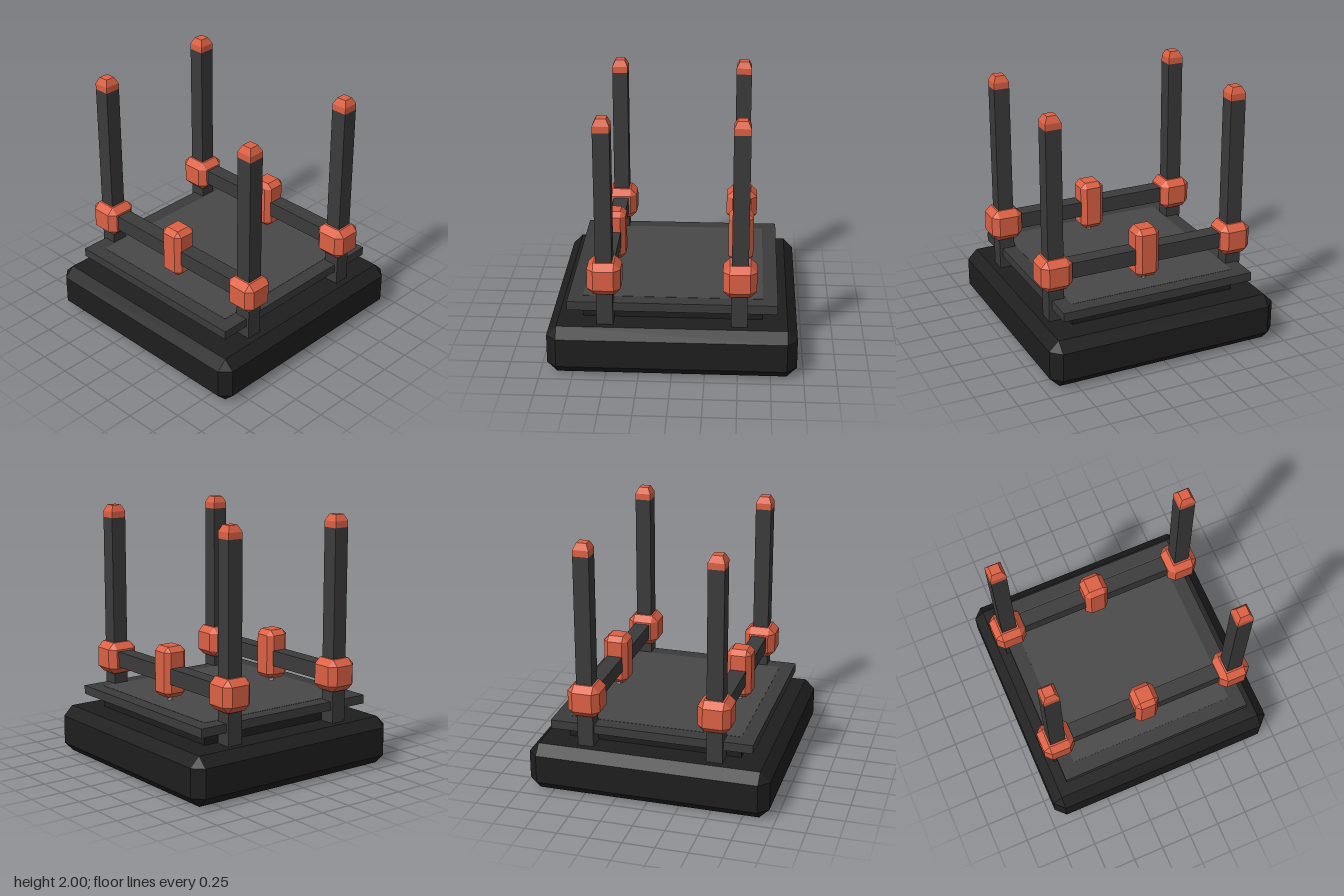
import * as THREE from 'three';
import { ConvexGeometry } from 'three/addons/geometries/ConvexGeometry.js';

const material = (color) => new THREE.MeshStandardMaterial({ color, flatShading: true });
const black = material(0x1e1e1e);
const dark = material(0x3b3b3b);
const slate = material(0x484848);
const orange = material(0xdd6144);
const grey = material(0xcccccc);

// Box with every edge and corner cut by c
function chamferBox(w, h, d, c) {
  const x = w / 2, y = h / 2, z = d / 2, points = [];
  for (const sx of [-1, 1]) for (const sy of [-1, 1]) for (const sz of [-1, 1]) {
    points.push(
      new THREE.Vector3(sx * x, sy * (y - c), sz * (z - c)),
      new THREE.Vector3(sx * (x - c), sy * y, sz * (z - c)),
      new THREE.Vector3(sx * (x - c), sy * (y - c), sz * z));
  }
  return new ConvexGeometry(points);
}

// Square cap with straight lower half and tapered top
function capGeometry(r, top, h) {
  const points = [];
  for (const [s, y] of [[r, 0], [r, h / 2], [top, h]])
    for (const sx of [-1, 1]) for (const sz of [-1, 1])
      points.push(new THREE.Vector3(sx * s, y, sz * s));
  return new ConvexGeometry(points);
}

export function createModel() {
  const model = new THREE.Group();
  const add = (name, geometry, mat, x, y, z) => {
    const mesh = new THREE.Mesh(geometry, mat);
    mesh.name = name;
    mesh.position.set(x, y, z);
    model.add(mesh);
  };
  const box = (w, h, d) => new THREE.BoxGeometry(w, h, d);
  const px = 0.757, pz = 0.507, w = 0.125;

  // Base, plinth and deck
  add('base', chamferBox(1.896, 0.38, 1.896, 0.077), black, 0, 0.19, 0);
  add('plinth', box(1.364, 0.12, 1.364), black, 0, 0.43, 0);
  add('deck', box(1.59, 0.07, 1.59), dark, 0, 0.515, 0);
  add('deckPanel', box(1.364, 0.01, 1.364), slate, 0, 0.547, 0);

  const post = box(w, 1.54, w);
  const joint = chamferBox(0.254, 0.254, 0.254, 0.05);
  const cap = capGeometry(w / 2, 0.038, 0.1);
  const rail = box(2 * px, w, w);
  const block = chamferBox(0.198, 0.4, 0.198, 0.04);
  const stem = new THREE.CylinderGeometry(0.018, 0.018, 0.08, 8);

  for (const sz of [-1, 1]) {
    const z = sz * pz;
    // Corner posts with joints and caps
    for (const sx of [-1, 1]) {
      add('post', post, dark, sx * px, 1.13, z);
      add('joint', joint, orange, sx * px, 0.763, z);
      add('cap', cap, orange, sx * px, 1.9, z);
    }
    // Side to side rail with its middle block and stem
    add('rail', rail, dark, 0, 0.763, z);
    add('middleBlock', block, orange, 0, 0.788, z);
    add('stem', stem, grey, 0, 0.58, z);
  }
  return model;
}
